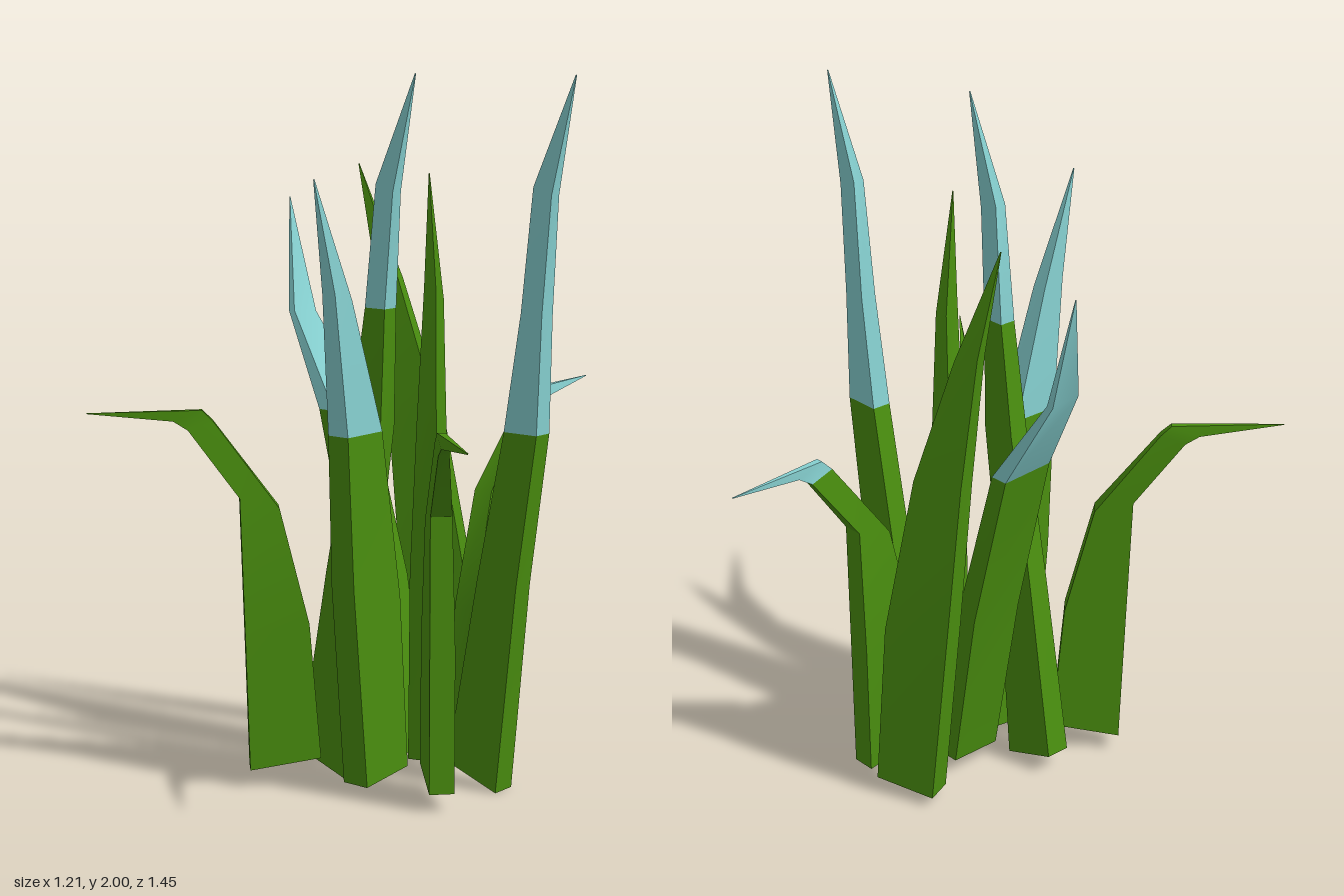
import * as THREE from 'three';
import { toCreasedNormals } from 'three/addons/utils/BufferGeometryUtils.js';

const green = new THREE.MeshStandardMaterial({ color: 0x4a8f0f });
green.name = 'leaf green';
const blue = new THREE.MeshStandardMaterial({ color: 0x86d0d0 });
blue.name = 'pale blue tip';

// Cross-sections from root to tip: [inner u, inner y, outer u, outer y, thickness, sideways shift]
const bent = [
  [0, 0.08, 0.2, 0.05, 0.07, 0],
  [0.03, 0.47, 0.21, 0.45, 0.07, 0],
  [0.11, 0.8, 0.22, 0.83, 0.06, -0.005],
  [0.29, 1.045, 0.36, 1.02, 0.03, -0.018],
  [0.32, 1.075, 0.4, 1.045, 0.022, -0.02],
  [0.636, 1.075, 0.638, 1.073, 0.002, 0.005],
];
const tall = [
  [0, 0.06, 0.17, 0, 0.075, -0.01],
  [0.1, 0.6, 0.235, 0.6, 0.065, -0.012],
  [0.19, 1.03, 0.3, 1.03, 0.06, -0.014],
  [0.24, 1.36, 0.31, 1.36, 0.05, -0.012],
  [0.27, 1.7, 0.33, 1.68, 0.035, -0.008],
  [0.388, 2, 0.39, 1.998, 0.002, 0],
];
const curved = [
  [0, 0.05, 0.18, 0.03, 0.085, 0],
  [0.03, 0.55, 0.23, 0.6, 0.08, 0],
  [0.115, 1.03, 0.26, 1.03, 0.07, 0.012],
  [0.23, 1.4, 0.3, 1.42, 0.045, 0.016],
  [0.355, 1.73, 0.357, 1.728, 0.002, 0.015],
];
const broad = [
  [0, 0.05, 0.16, 0.05, 0.07, 0],
  [0, 0.55, 0.17, 0.55, 0.07, -0.08],
  [0.01, 1.03, 0.175, 1.04, 0.055, -0.2],
  [0.035, 1.3, 0.13, 1.31, 0.022, -0.37],
  [0.04, 1.63, 0.042, 1.63, 0.002, -0.452],
];
const slim = [
  [0, 0.05, 0.12, 0.05, 0.09, 0],
  [0.03, 0.6, 0.14, 0.6, 0.08, 0.01],
  [0.09, 1.03, 0.16, 1.03, 0.06, 0.03],
  [0.115, 1.38, 0.17, 1.42, 0.035, 0.045],
  [0.17, 1.73, 0.172, 1.728, 0.002, 0.043],
];

// Join four-cornered sections into a tapering solid
function loft(rings, [ox, oz], angle, closeRoot) {
  const dx = Math.cos(angle), dz = Math.sin(angle);
  const pos = [], index = [];
  for (const [u0, y0, u1, y1, t, shift] of rings) {
    for (const [u, y, side] of [[u0, y0, -1], [u1, y1, -1], [u1, y1, 1], [u0, y0, 1]]) {
      const v = shift + side * t / 2;
      pos.push(ox + dx * u + dz * v, y, oz + dz * u - dx * v);
    }
  }
  for (let r = 0; r < rings.length - 1; r++) {
    for (let i = 0; i < 4; i++) {
      const j = (i + 1) % 4, a = r * 4, b = a + 4;
      index.push(a + i, a + j, b + j, a + i, b + j, b + i);
    }
  }
  if (closeRoot) index.push(0, 2, 1, 0, 3, 2);
  const geo = new THREE.BufferGeometry();
  geo.setAttribute('position', new THREE.Float32BufferAttribute(pos, 3));
  geo.setIndex(index);
  return toCreasedNormals(geo, 0.6);
}

// A blade is green up to section `split`, and pale blue from there on
function blade(name, rings, origin, angle, split) {
  const group = new THREE.Group();
  group.name = name;
  const add = (part, mat, label, root) => {
    const mesh = new THREE.Mesh(loft(part, origin, angle, root), mat);
    mesh.name = label;
    group.add(mesh);
  };
  add(split ? rings.slice(0, split + 1) : rings, green, 'leaf', true);
  if (split) add(rings.slice(split), blue, 'leafTip', false);
  return group;
}

export function createModel() {
  const model = new THREE.Group();
  model.name = 'grassTuft';
  const PI = Math.PI;
  model.add(
    // blades folded outward
    blade('frontRightBlade', bent, [-0.155, 0.27], PI * 0.75),
    blade('frontLeftBlade', bent, [0.14, 0.13], PI * 0.245),
    blade('backBlade', bent, [0.065, -0.085], -PI / 2, 3),
    // tall blades
    blade('leftTallBlade', tall, [0.13, 0], 0, 2),
    blade('rightTallBlade', tall, [-0.28, 0.165], 0, 3),
    // curved blades
    blade('frontBlade', curved, [0.005, 0.125], PI / 2, 2),
    blade('backRightBlade', curved, [0, -0.26], Math.atan2(0.13, -0.33)),
    // broad leaning blade and the centre one
    blade('rightBroadBlade', broad, [-0.065, -0.07], PI / 2, 2),
    blade('centreBlade', slim, [0.02, -0.055], Math.atan2(0.97, 0.25)),
  );
  return model;
}
